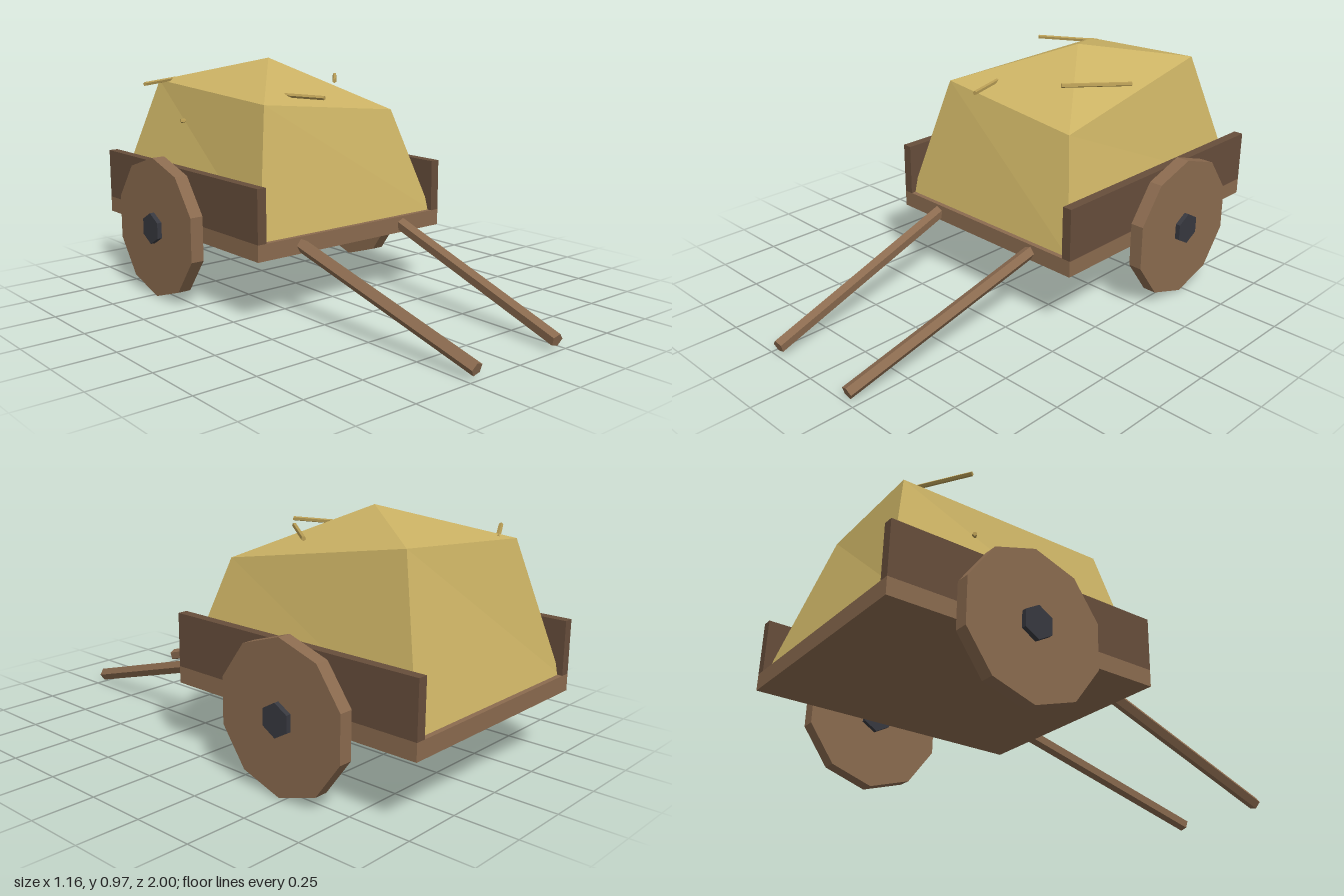
import * as THREE from 'three';

const material = (name, color) => Object.assign(new THREE.MeshStandardMaterial({ color, flatShading: true }), { name });

export function createModel() {
  const wood = material('wood', 0x8b6b4f);
  const darkWood = material('dark wood', 0x674e3b);
  const iron = material('iron', 0x37383f);
  const hay = material('hay', 0xcbb264);
  const straw = material('straw', 0xb89d55);

  const model = new THREE.Group();
  model.name = 'hayCart';

  const add = (name, geometry, mat) => {
    const mesh = new THREE.Mesh(geometry, mat);
    mesh.name = name;
    model.add(mesh);
    return mesh;
  };

  // Straight stick between two points
  const stick = (name, from, to, radius, sides, mat, twist = 0) => {
    const a = new THREE.Vector3(...from), b = new THREE.Vector3(...to);
    const dir = b.clone().sub(a);
    const geometry = new THREE.CylinderGeometry(radius, radius, dir.length(), sides);
    geometry.rotateY(twist);
    const mesh = add(name, geometry, mat);
    mesh.position.copy(a).add(b).multiplyScalar(0.5);
    mesh.quaternion.setFromUnitVectors(new THREE.Vector3(0, 1, 0), dir.normalize());
  };

  // Cart bed
  add('floor', new THREE.BoxGeometry(0.95, 0.067, 1.135), wood).position.set(0, 0.298, -0.4325);

  for (const side of [1, -1]) {
    const label = side > 0 ? 'left' : 'right';
    add(label + 'Board', new THREE.BoxGeometry(0.04, 0.214, 1.135), darkWood)
      .position.set(side * 0.455, 0.438, -0.4325);

    // Wheel and hub, axis along x
    const wheel = add(label + 'Wheel', new THREE.CylinderGeometry(0.293, 0.293, 0.056, 10).rotateZ(Math.PI / 2), wood);
    wheel.geometry.rotateX(Math.PI / 2);
    wheel.position.set(side * 0.53, 0.296, -0.476);
    const hub = add(label + 'Hub', new THREE.CylinderGeometry(0.065, 0.065, 0.094, 6).rotateZ(Math.PI / 2), iron);
    hub.geometry.rotateX(Math.PI / 2);
    hub.position.set(side * 0.531, 0.296, -0.476);

    // Pull handle sloping down to the ground
    stick(label + 'Handle', [side * 0.266, 0.3, 0.12], [side * 0.211, 0.04, 0.992], 0.027, 5, wood, side * Math.PI / 2);
  }

  // Hay heap: base ring, uneven shoulder ring and a peak
  const base = [[-0.45, 0.33, 0.115], [0.45, 0.33, 0.115], [0.45, 0.33, -0.98], [-0.45, 0.33, -0.98]];
  const shoulder = [[-0.333, 0.83, -0.01], [0.33, 0.76, -0.01], [0.308, 0.9, -0.812], [-0.286, 0.86, -0.86]];
  const peak = [0, 0.97, -0.43];
  const points = [];
  for (let i = 0; i < 4; i++) {
    const j = (i + 1) % 4;
    points.push(base[i], base[j], shoulder[i]);
    points.push(base[j], shoulder[j], shoulder[i]);
    points.push(shoulder[i], shoulder[j], peak);
  }
  points.push(base[0], base[2], base[1], base[0], base[3], base[2]);
  const heap = new THREE.BufferGeometry();
  heap.setAttribute('position', new THREE.Float32BufferAttribute(points.flat(), 3));
  heap.computeVertexNormals();
  add('hayHeap', heap, hay);

  // Loose straws poking out
  const straws = [
    [[-0.46, 0.866, -0.685], [-0.22, 0.866, -0.822]],
    [[0.148, 0.88, -0.165], [0.33, 0.88, -0.38]],
    [[-0.155, 0.847, -0.11], [-0.1, 0.847, 0.07]],
    [[-0.348, 0.71, -0.59], [-0.15, 0.71, -0.5]],
  ];
  straws.forEach(([from, to], i) => stick('straw' + (i + 1), from, to, 0.009, 5, straw));

  return model;
}
